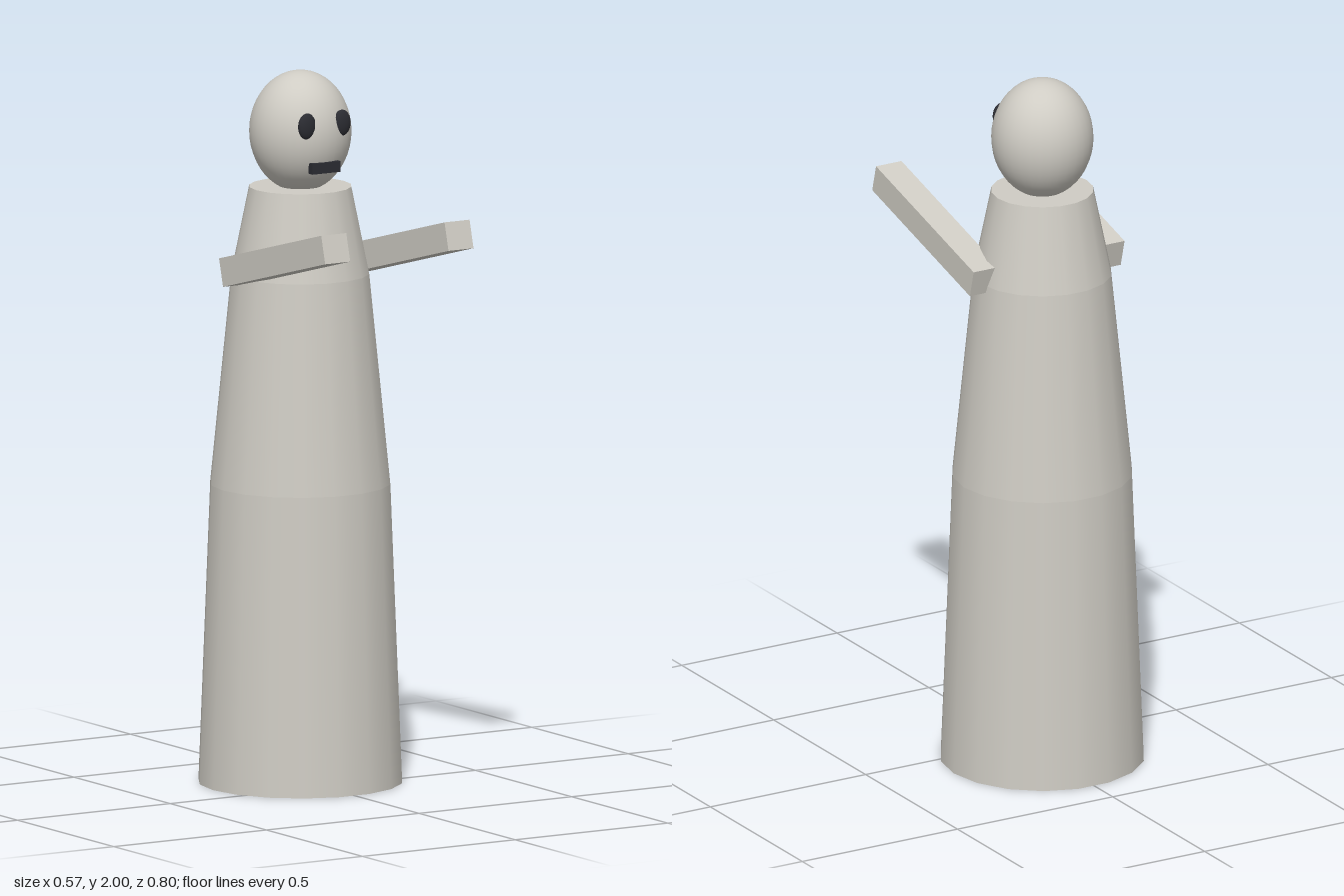
import * as THREE from 'three';

const AXIS_Z = -0.117; // body and head share this vertical axis

export function createModel() {
  const model = new THREE.Group();
  const stone = new THREE.MeshStandardMaterial({ color: 0xcfccc4 });
  stone.name = 'pale stone';
  const dark = new THREE.MeshStandardMaterial({ color: 0x2b2c32 });
  dark.name = 'dark charcoal';

  function add(name, geometry, material, x, y, z) {
    const mesh = new THREE.Mesh(geometry, material);
    mesh.name = name;
    mesh.position.set(x, y, z);
    model.add(mesh);
    return mesh;
  }
  const ellipsoid = (rx, ry, rz, w, h) =>
    new THREE.SphereGeometry(1, w, h).scale(rx, ry, rz);

  // Robe: three stacked tapering tiers, [height, radius] at each ring
  const rings = [[0, 0.285], [0.84, 0.252], [1.43, 0.193], [1.675, 0.143]];
  const tiers = ['lowerRobe', 'middleRobe', 'shoulders'];
  tiers.forEach((name, i) => {
    const [y0, r0] = rings[i];
    const [y1, r1] = rings[i + 1];
    const tier = new THREE.CylinderGeometry(r1, r0, y1 - y0, 18, 1, true, Math.PI / 2);
    add(name, tier, stone, 0, (y0 + y1) / 2, AXIS_Z);
  });

  // Flat ends of the robe
  const cap = (r, turn) => new THREE.CircleGeometry(r, 18).rotateX(turn);
  add('robeBase', cap(0.285, Math.PI / 2), stone, 0, 0, AXIS_Z);
  add('collarTop', cap(0.143, -Math.PI / 2), stone, 0, 1.675, AXIS_Z);

  // Egg-shaped head
  add('head', ellipsoid(0.142, 0.17, 0.142, 32, 24), stone, 0, 1.83, AXIS_Z);

  // Eyes and raised arms, mirrored
  for (const [side, s] of [['left', 1], ['right', -1]]) {
    add(side + 'Eye', ellipsoid(0.028, 0.037, 0.014, 16, 12), dark, s * 0.057, 1.865, 0.008);
    const arm = add(side + 'Arm', new THREE.BoxGeometry(0.082, 0.08, 0.55), stone, s * 0.202, 1.52, 0.122);
    arm.rotation.x = -Math.PI / 12;
  }

  // Mouth bar
  add('mouth', new THREE.BoxGeometry(0.092, 0.03, 0.022), dark, 0, 1.745, 0.009);

  return model;
}
